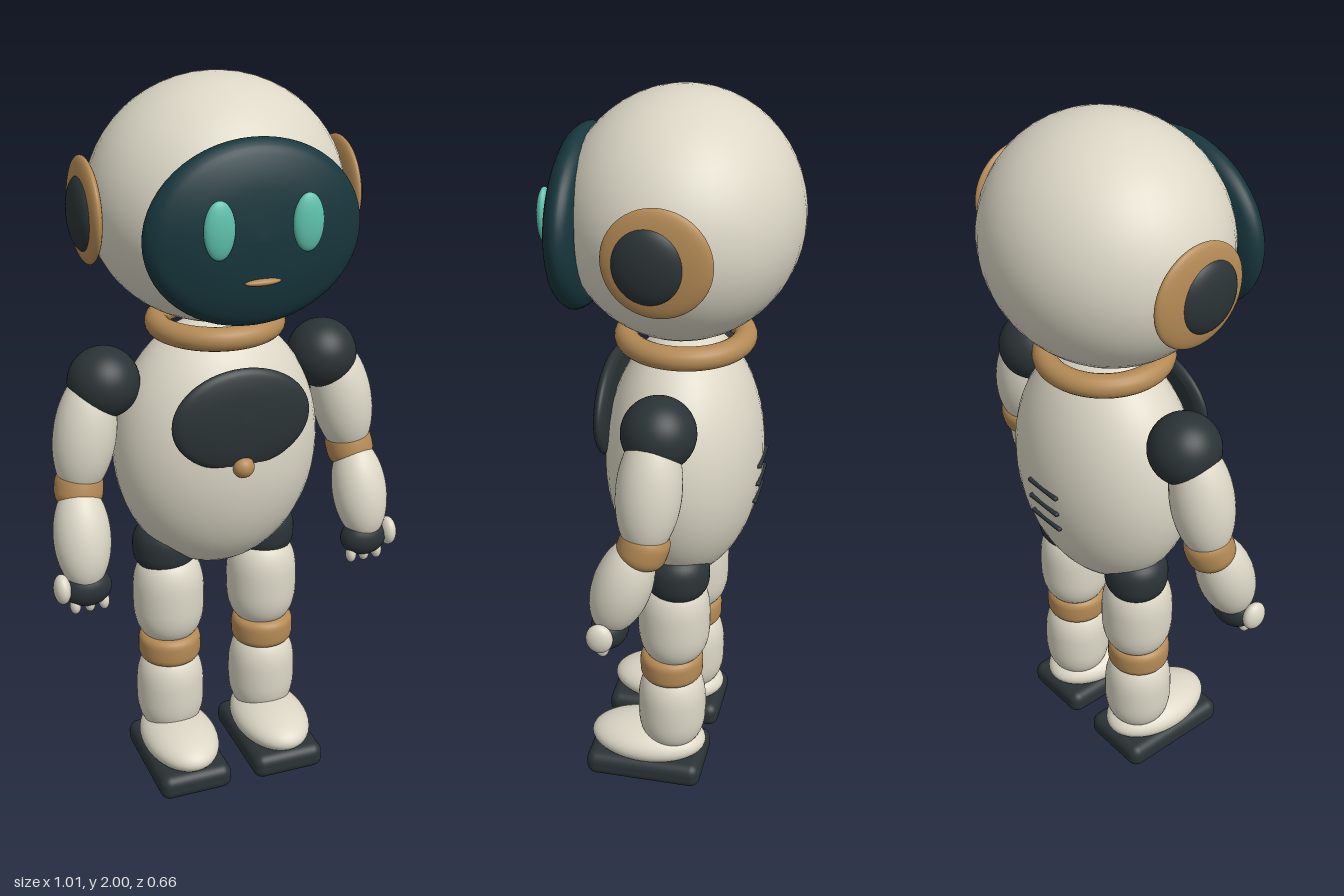
import * as THREE from 'three';
import { RoundedBoxGeometry } from 'three/addons/geometries/RoundedBoxGeometry.js';

const paint = (color) => new THREE.MeshStandardMaterial({ color });
const shell = paint(0xdcd7c6), bronze = paint(0xb48a55), dark = paint(0x2b3336);
const glass = paint(0x17363c), teal = paint(0x5fc2ad);

export function createModel() {
  const robot = new THREE.Group();
  robot.name = 'robot';

  function add(name, geometry, material, x, y, z, parent = robot) {
    const mesh = new THREE.Mesh(geometry, material);
    mesh.name = name;
    mesh.position.set(x, y, z);
    parent.add(mesh);
    return mesh;
  }

  function ellipsoid(name, material, [x, y, z], [rx, ry, rz], parent) {
    const geometry = new THREE.SphereGeometry(1, 40, 28).scale(rx, ry, rz);
    return add(name, geometry, material, x, y, z, parent);
  }

  // Ellipsoid stretched between two points
  function limb(name, material, from, to, radius, parent) {
    const a = new THREE.Vector3(...from), b = new THREE.Vector3(...to);
    const axis = b.clone().sub(a), mid = a.clone().add(b).multiplyScalar(0.5);
    const mesh = ellipsoid(name, material, mid.toArray(), [radius, axis.length() / 2, radius], parent);
    mesh.quaternion.setFromUnitVectors(new THREE.Vector3(0, 1, 0), axis.normalize());
    return mesh;
  }

  // Barrel with softly squared ends
  function barrel(name, material, [x, y, z], radius, half, power, parent) {
    const points = [];
    for (let i = 0; i <= 24; i++) {
      const t = -Math.PI / 2 + (i / 24) * Math.PI;
      const c = Math.max(0, Math.cos(t)), s = Math.sin(t);
      points.push(new THREE.Vector2(radius * c ** (2 / power), half * Math.sign(s) * Math.abs(s) ** (2 / power)));
    }
    return add(name, new THREE.LatheGeometry(points, 36), material, x, y, z, parent);
  }

  // Oval dish: flat back, rounded rim and domed front facing +z
  function dish(name, material, [x, y, z], rx, ry, depth) {
    const outline = [[0, 0], [0.84, 0], [0.95, 0.12], [1, 0.33], [0.96, 0.53], [0.85, 0.7], [0.53, 0.9], [0, 1]];
    const curve = new THREE.SplineCurve(outline.slice(1).map(([r, h]) => new THREE.Vector2(r, h)));
    const points = [new THREE.Vector2(0, 0), ...curve.getPoints(24)];
    points[points.length - 1].x = 0;
    const geometry = new THREE.LatheGeometry(points, 56).rotateX(Math.PI / 2).scale(rx, ry, depth);
    return add(name, geometry, material, x, y, z);
  }

  // Head and face
  ellipsoid('head', shell, [0, 1.68, -0.02], [0.34, 0.32, 0.31]);
  dish('visor', glass, [0, 1.655, 0.203], 0.285, 0.235, 0.112);
  ellipsoid('mouth', bronze, [0, 1.55, 0.306], [0.047, 0.009, 0.014]);

  // Neck ring and torso
  add('neckRing', new THREE.TorusGeometry(0.157, 0.032, 20, 56).rotateX(Math.PI / 2), bronze, 0, 1.347, -0.025);
  ellipsoid('torso', shell, [0, 1.0, -0.025], [0.29, 0.365, 0.215]);
  dish('chestPanel', dark, [0, 1.135, 0.155], 0.193, 0.142, 0.05);
  ellipsoid('chestButton', bronze, [0, 1.005, 0.187], [0.03, 0.03, 0.03]);

  // Back vents
  for (const y of [0.89, 0.945, 1.0]) {
    const z = -0.025 - 0.215 * Math.sqrt(1 - ((y - 1) / 0.365) ** 2);
    add('backVent', new RoundedBoxGeometry(0.12, 0.012, 0.016, 2, 0.005), dark, 0, y, z + 0.002);
  }

  for (const s of [1, -1]) {
    const side = s > 0 ? 'left' : 'right';

    // Eyes and ear pads
    ellipsoid(side + 'Eye', teal, [s * 0.115, 1.69, 0.312], [0.04, 0.073, 0.019]);
    ellipsoid(side + 'EarRing', bronze, [s * 0.349, 1.678, -0.027], [0.027, 0.137, 0.137]);
    ellipsoid(side + 'EarPad', dark, [s * 0.36, 1.675, -0.01], [0.035, 0.097, 0.09]);

    // Arm
    const arm = new THREE.Group();
    arm.name = side + 'Arm';
    robot.add(arm);
    ellipsoid('shoulder', dark, [s * 0.315, 1.213, -0.022], [0.097, 0.097, 0.097], arm);
    limb('upperArm', shell, [s * 0.345, 1.25, -0.02], [s * 0.405, 0.905, 0], 0.085, arm);
    const elbow = barrel('elbow', bronze, [s * 0.4, 0.93, 0], 0.067, 0.055, 3, arm);
    elbow.rotation.set(-0.3, 0, s * 0.15);
    limb('forearm', shell, [s * 0.405, 0.95, 0.01], [s * 0.417, 0.67, 0.1], 0.078, arm);

    // Hand with outer thumb and three fingertips
    ellipsoid('hand', dark, [s * 0.412, 0.675, 0.09], [0.068, 0.054, 0.05], arm);
    ellipsoid('thumb', shell, [s * 0.484, 0.685, 0.1], [0.023, 0.042, 0.036], arm);
    for (const x of [0.37, 0.41, 0.45]) {
      ellipsoid('finger', shell, [s * x, 0.63, 0.102], [0.015, 0.025, 0.018], arm);
    }

    // Leg
    const leg = new THREE.Group();
    leg.name = side + 'Leg';
    robot.add(leg);
    barrel('hip', dark, [s * 0.15, 0.695, -0.035], 0.09, 0.077, 2.6, leg);
    barrel('thigh', shell, [s * 0.143, 0.54, -0.024], 0.102, 0.142, 2.8, leg);
    barrel('knee', bronze, [s * 0.144, 0.382, -0.017], 0.09, 0.048, 4, leg);
    barrel('shin', shell, [s * 0.144, 0.235, -0.018], 0.098, 0.135, 2.8, leg);

    // Foot and sole
    ellipsoid('foot', shell, [s * 0.143, 0.103, 0.053], [0.108, 0.06, 0.17], leg);
    add('sole', new RoundedBoxGeometry(0.215, 0.075, 0.34, 5, 0.03), dark, s * 0.143, 0.0375, 0.053, leg);
  }

  return robot;
}
